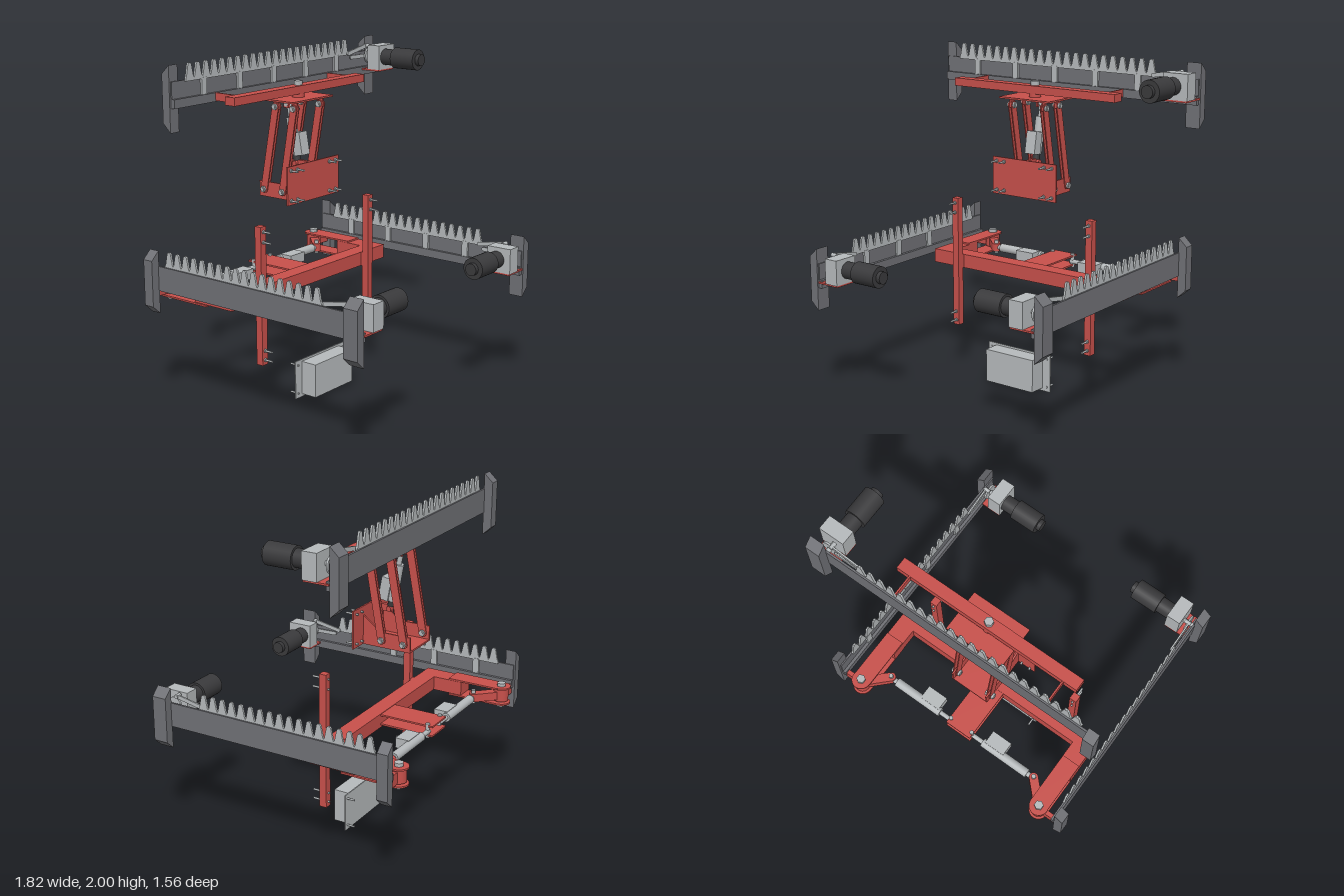
import * as THREE from 'three';

const mat = (name, color, side = THREE.FrontSide) => {
  const m = new THREE.MeshStandardMaterial({ color, side });
  m.name = name;
  return m;
};
const V = (x, y, z) => new THREE.Vector3(x, y, z);

export function createModel() {
  const red = mat('red paint', 0xc8504b), light = mat('light metal', 0xb6babc);
  const steel = mat('grey steel', 0x707176), dark = mat('motor black', 0x3a3a3c);
  const model = new THREE.Group();
  model.name = 'hedgeTrimmerFrame';
  const C = -0.085; // mirror plane of the frame

  const add = (parent, name, geo, m) => {
    const mesh = new THREE.Mesh(geo, m);
    mesh.name = name;
    parent.add(mesh);
    return mesh;
  };
  // box from opposite limits, in any order
  const box = (p, name, m, x0, x1, y0, y1, z0, z1) => {
    const b = add(p, name, new THREE.BoxGeometry(Math.abs(x1 - x0), Math.abs(y1 - y0), Math.abs(z1 - z0)), m);
    b.position.set((x0 + x1) / 2, (y0 + y1) / 2, (z0 + z1) / 2);
    return b;
  };
  // cylinder between two points
  const rod = (p, name, m, a, b, r, seg = 20) => {
    const d = b.clone().sub(a);
    const c = add(p, name, new THREE.CylinderGeometry(r, r, d.length(), seg), m);
    c.position.copy(a).add(b).multiplyScalar(0.5);
    c.quaternion.setFromUnitVectors(V(0, 1, 0), d.normalize());
    return c;
  };
  // flat bar with round ends between two points, its thickness along the normal
  const link = (p, name, m, a, b, r, th, normal) => {
    const d = b.clone().sub(a), L = d.length();
    const s = new THREE.Shape();
    s.absarc(L, 0, r, -Math.PI / 2, Math.PI / 2, false);
    s.absarc(0, 0, r, Math.PI / 2, Math.PI * 1.5, false);
    const g = new THREE.ExtrudeGeometry(s, { depth: th, bevelEnabled: false, curveSegments: 12 }).translate(0, 0, -th / 2);
    d.normalize();
    const basis = new THREE.Matrix4().makeBasis(d, normal.clone().cross(d), normal);
    const mesh = add(p, name, g.applyMatrix4(basis), m);
    mesh.position.copy(a);
    return mesh;
  };
  // profile given as [z, y] points, centred on x
  const plateZY = (p, name, m, pts, x, th) => {
    const s = new THREE.Shape(pts.map(q => new THREE.Vector2(q[0], q[1])));
    const g = new THREE.ExtrudeGeometry(s, { depth: th, bevelEnabled: false });
    g.translate(0, 0, -th / 2).rotateY(-Math.PI / 2);
    const mesh = add(p, name, g, m);
    mesh.position.x = x;
    return mesh;
  };

  // Cutter bar: u runs from the motor end, y up from the guard foot, z inwards
  const cutter = (name, len, teeth, ribs, hand) => {
    const g = new THREE.Group();
    g.name = name;
    const b = (n, m, u0, u1, ...r) => box(g, n, m, hand * u0, hand * u1, ...r);
    const guard = [[0.004, 0], [0.004, 0.37], [-0.05, 0.32], [-0.05, 0.05]];
    plateZY(g, 'endGuard', steel, guard, hand * 0.045, 0.09);
    plateZY(g, 'endGuard', steel, guard, hand * (len - 0.033), 0.066);
    b('barWall', steel, 0.01, len - 0.01, 0.135, 0.28, 0, 0.012);
    b('barFoot', steel, 0.01, len - 0.01, 0.135, 0.185, 0.001, 0.03);
    for (let i = 0; i < ribs; i++) {
      const u = 0.4 + i * 0.29;
      b('rib', light, u - 0.02, u + 0.02, 0.185, 0.28, 0.01, 0.024);
    }
    // toothed blade as one outline
    const u0 = 0.28, pitch = (len - 0.11 - u0) / teeth, s = new THREE.Shape();
    s.moveTo(u0, 0.272);
    for (let i = 0; i < teeth; i++) {
      const c = u0 + pitch * (i + 0.5);
      [[-0.032, 0.288], [-0.026, 0.3], [-0.013, 0.362], [-0.006, 0.37],
        [0.006, 0.37], [0.013, 0.362], [0.026, 0.3], [0.032, 0.288]].forEach(q => s.lineTo(c + q[0], q[1]));
    }
    s.lineTo(len - 0.11, 0.272);
    const blade = new THREE.ExtrudeGeometry(s, { depth: 0.012, bevelEnabled: false });
    if (hand < 0) blade.rotateY(Math.PI).translate(0, 0, 0.012);
    add(g, 'toothedBlade', blade, light).position.z = 0.01;
    // drive: gearbox, crank, connecting rod and motor
    b('driveBracket', red, 0, 0.15, 0.165, 0.175, 0.01, 0.16);
    b('gearbox', light, -0.006, 0.15, 0.175, 0.325, 0.075, 0.163);
    const at = (u, y, z) => V(hand * u, y, z);
    rod(g, 'crankShaft', light, at(0.085, 0.252, 0.012), at(0.085, 0.252, 0.08), 0.014);
    rod(g, 'crankDisc', light, at(0.085, 0.252, 0.035), at(0.085, 0.252, 0.047), 0.05);
    rod(g, 'crankPin', light, at(0.11, 0.315, 0.02), at(0.11, 0.315, 0.06), 0.012);
    link(g, 'connectingRod', light, at(0.11, 0.315, 0.032), at(0.29, 0.282, 0.032), 0.012, 0.01, V(0, 0, 1));
    link(g, 'crankArm', light, at(0.13, 0.252, 0.03), at(0.26, 0.255, 0.03), 0.012, 0.008, V(0, 0, 1));
    const motor = [[0.163, 0.245, 0.05], [0.245, 0.415, 0.064], [0.415, 0.44, 0.036]];
    motor.forEach(q => rod(g, 'motor', dark, at(0.085, 0.252, q[0]), at(0.085, 0.252, q[1]), q[2], 28));
    model.add(g);
    return g;
  };
  cutter('topCutter', 1.81, 22, 5, -1).position.set(0.9, 1.63, -0.51);
  const rightCutter = cutter('rightCutter', 1.527, 18, 4, 1);
  rightCutter.position.set(C - 0.775, 0.56, 0.77);
  rightCutter.rotation.y = Math.PI / 2;
  const leftCutter = cutter('leftCutter', 1.527, 18, 4, -1);
  leftCutter.position.set(C + 0.775, 0.56, 0.77);
  leftCutter.rotation.y = -Math.PI / 2;

  // Lower frame
  const frame = new THREE.Group();
  frame.name = 'lowerFrame';
  model.add(frame);
  const up = V(0, 1, 0);
  box(frame, 'crossBeam', red, C - 0.7, C + 0.7, 0.65, 0.735, -0.3, -0.2);
  for (const y of [0.665, 0.722]) box(frame, 'centrePlate', red, C - 0.085, C + 0.085, y, y + 0.01, -0.635, -0.29);
  for (const s of [-1, 1]) {
    const X = d => C + s * d;
    box(frame, 'sideArm', red, X(0.585), X(0.7), 0.65, 0.735, -0.485, -0.201);
    for (const y of [0.641, 0.74]) {
      box(frame, 'clevisPlate', red, X(0.587), X(0.7), y - 0.005, y + 0.005, -0.725, -0.4);
      rod(frame, 'clevisEnd', red, V(X(0.645), y - 0.005, -0.725), V(X(0.645), y + 0.005, -0.725), 0.057, 28);
    }
    rod(frame, 'pivotBolt', light, V(X(0.645), 0.615, -0.725), V(X(0.645), 0.765, -0.725), 0.027, 6);
    link(frame, 'swingLever', red, V(X(0.645), 0.69, -0.725), V(X(0.52), 0.69, -0.6), 0.027, 0.05, up);
    rod(frame, 'swingHub', red, V(X(0.645), 0.655, -0.725), V(X(0.645), 0.73, -0.725), 0.045);
    box(frame, 'cutterArm', red, X(0.645), X(0.775), 0.655, 0.725, -0.74, -0.713);
    // linear actuator
    rod(frame, 'leverPin', light, V(X(0.52), 0.65, -0.6), V(X(0.52), 0.735, -0.6), 0.013);
    rod(frame, 'actuatorEnd', light, V(X(0.52), 0.69, -0.6), V(X(0.47), 0.69, -0.6), 0.016);
    rod(frame, 'actuatorBody', light, V(X(0.475), 0.69, -0.6), V(X(0.155), 0.69, -0.6), 0.027);
    rod(frame, 'actuatorRod', light, V(X(0.155), 0.69, -0.6), V(X(0.06), 0.69, -0.6), 0.014);
    rod(frame, 'centrePin', light, V(X(0.075), 0.655, -0.6), V(X(0.075), 0.742, -0.6), 0.012);
    box(frame, 'actuatorMotor', light, X(0.17), X(0.3), 0.66, 0.72, -0.6, -0.515);
    // mounting post with its bolts
    box(frame, 'post', red, X(0.468), X(0.512), 0.29, 1.1, -0.192, -0.148);
    box(frame, 'postPad', red, X(0.468), X(0.512), 0.65, 0.735, -0.202, -0.19);
    for (const y of [0.32, 0.375, 1.01, 1.07]) {
      rod(frame, 'postBolt', light, V(X(0.49), y, -0.202), V(X(0.49), y, -0.095), 0.006, 10);
      rod(frame, 'postNut', light, V(X(0.49), y, -0.148), V(X(0.49), y, -0.14), 0.012, 6);
    }
  }

  // Upper lift linkage
  const lift = new THREE.Group();
  lift.name = 'liftLinkage';
  model.add(lift);
  box(lift, 'carrierBeam', red, -0.66, 0.49, 1.77, 1.817, -0.335, -0.265);
  for (const s of [-1, 1]) box(lift, 'cutterTab', red, C + s * 0.49 - 0.005, C + s * 0.49 + 0.005, 1.77, 1.815, -0.495, -0.335);
  box(lift, 'tablePlate', red, C - 0.18, C + 0.18, 1.738, 1.748, -0.437, -0.187);
  rod(lift, 'swivelCollar', red, V(C, 1.748, -0.3), V(C, 1.77, -0.3), 0.035);
  rod(lift, 'swivelBolt', light, V(C, 1.72, -0.3), V(C, 1.843, -0.3), 0.026, 6);
  box(lift, 'mountPlate', red, C - 0.23, C + 0.23, 1.16, 1.385, -0.2, -0.19);
  box(lift, 'bracketFloor', red, C - 0.115, C + 0.115, 1.16, 1.17, -0.5, -0.2);
  const side = V(1, 0, 0);
  const pivots = [[-0.23, -0.32], [-0.365, -0.46]]; // upper and lower z
  for (const s of [-1, 1]) {
    const x = C + s * 0.115;
    plateZY(lift, 'sideBracket', red, [[-0.195, 1.16], [-0.195, 1.335], [-0.31, 1.25], [-0.5, 1.25], [-0.5, 1.16]], x, 0.01);
    for (const [zt, zb] of pivots) {
      for (const o of [-0.01, 0.01]) link(lift, 'liftLink', red, V(x + o, 1.7, zt), V(x + o, 1.205, zb), 0.024, 0.006, side);
      box(lift, 'upperLug', red, x - 0.005, x + 0.005, 1.685, 1.74, zt - 0.02, zt + 0.02);
      for (const [y, z] of [[1.7, zt], [1.205, zb]]) {
        rod(lift, 'linkPin', light, V(x - 0.03, y, z), V(x + 0.03, y, z), 0.01, 12);
        for (const o of [-0.02, 0.02]) rod(lift, 'linkNut', light, V(x + o - 0.006, y, z), V(x + o + 0.006, y, z), 0.019, 6);
      }
    }
    for (const d of [0.2, 0.145]) for (const y of [1.185, 1.36]) {
      rod(lift, 'mountBolt', light, V(C + s * d, y, -0.215), V(C + s * d, y, -0.138), 0.006, 10);
      rod(lift, 'mountNut', light, V(C + s * d, y, -0.19), V(C + s * d, y, -0.182), 0.012, 6);
    }
  }

  // Lift actuator, leaning back between the links
  const foot = V(C, 1.36, -0.31), head = V(C, 1.7, -0.37);
  const along = t => foot.clone().lerp(head, t);
  rod(lift, 'liftFoot', dark, along(0.04), along(0.16), 0.022);
  rod(lift, 'liftBody', light, along(0.14), along(0.78), 0.029);
  rod(lift, 'liftRod', light, along(0.78), along(1), 0.015);
  const pod = add(lift, 'liftMotor', new THREE.BoxGeometry(0.07, 0.135, 0.06), light);
  pod.position.copy(along(0.36)).add(V(0, -0.005, 0.045));
  pod.rotation.x = -0.175;
  rod(lift, 'footPin', red, V(C - 0.03, 1.36, -0.31), V(C + 0.03, 1.36, -0.31), 0.015);
  box(lift, 'footLug', red, C - 0.012, C + 0.012, 1.34, 1.38, -0.32, -0.195);
  rod(lift, 'headPin', light, V(C - 0.03, 1.7, -0.37), V(C + 0.03, 1.7, -0.37), 0.013);
  for (const o of [-0.022, 0.022]) box(lift, 'headLug', red, C + o - 0.005, C + o + 0.005, 1.68, 1.74, -0.39, -0.35);

  // Control box on its plate
  const control = new THREE.Group();
  control.name = 'controlBox';
  model.add(control);
  box(control, 'backPlate', light, C - 0.23, C + 0.23, 0, 0.232, -0.152, -0.145);
  box(control, 'housing', light, C - 0.173, C + 0.173, 0.018, 0.22, -0.146, -0.042);
  for (const d of [-0.207, 0.207]) for (const y of [0.03, 0.205])
    rod(control, 'plateBolt', light, V(C + d, y, -0.2), V(C + d, y, -0.138), 0.006, 10);
  return model;
}
